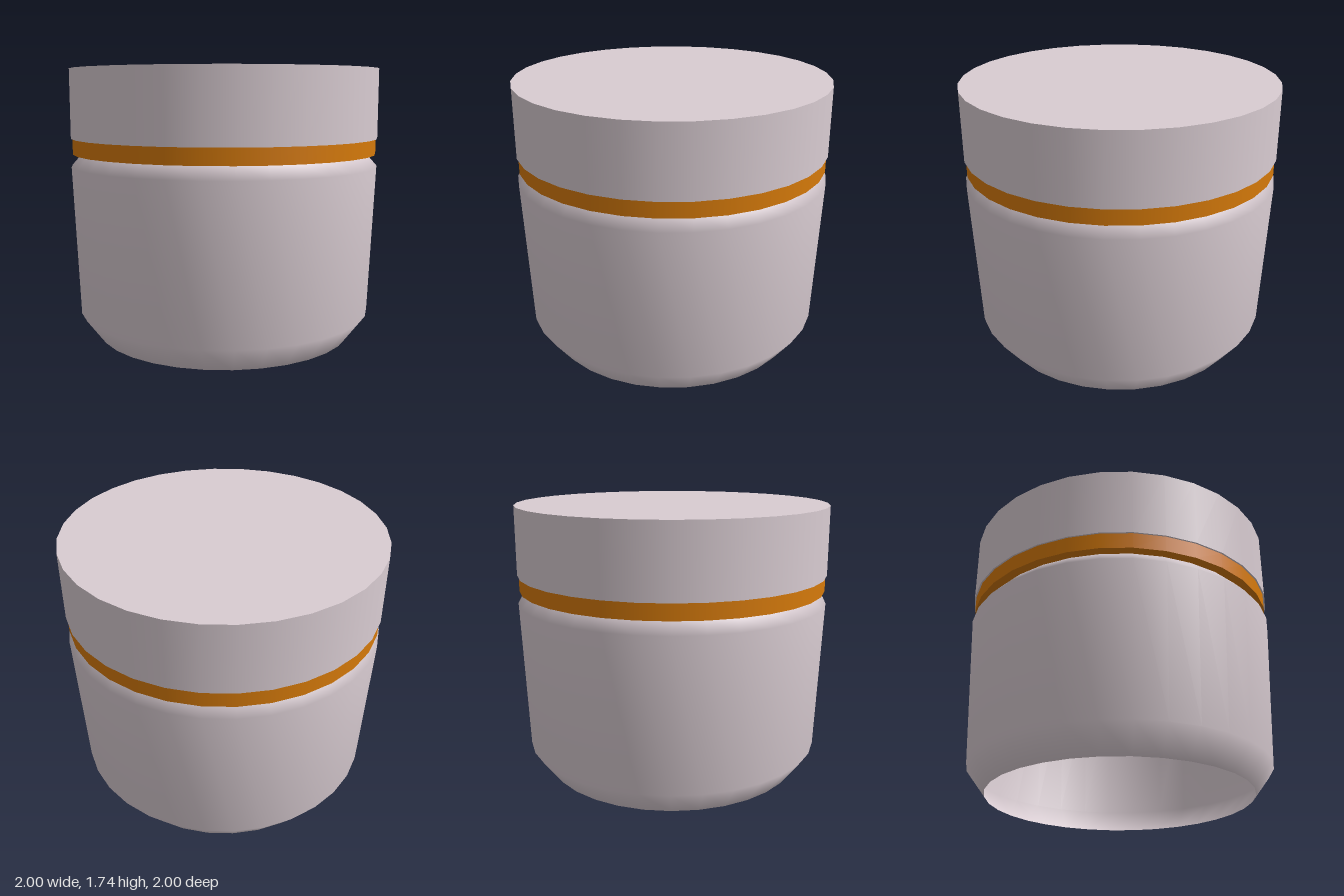
import * as THREE from 'three';

const SIDES = 32;

export function createModel() {
  const shell = new THREE.MeshStandardMaterial({ color: 0xd9ccd2 });
  shell.name = 'pale mauve shell';
  shell.side = THREE.DoubleSide;
  const band = new THREE.MeshStandardMaterial({ color: 0xd67a0a });
  band.name = 'amber band';

  const model = new THREE.Group();
  model.name = 'jar';

  const add = (name, geometry, material, y = 0) => {
    const mesh = new THREE.Mesh(geometry, material);
    mesh.name = name;
    mesh.position.y = y;
    model.add(mesh);
  };
  const disc = (radius, bottom, top) =>
    new THREE.CylinderGeometry(radius, radius, top - bottom, SIDES);

  // Hollow body, open at the base, with softened lower edge and shoulder
  const profile = [[0.84, 0], [0.96, 0.16], [1, 1.12], [0.93, 1.2]]
    .map(([r, y]) => new THREE.Vector2(r, y));
  add('body', new THREE.LatheGeometry(profile, SIDES), shell);

  // Coloured band between body and lid
  add('neckBand', disc(0.99, 1.2, 1.3), band, 1.25);

  // Flat-topped lid
  add('lid', disc(1, 1.3, 1.74), shell, 1.52);

  return model;
}
